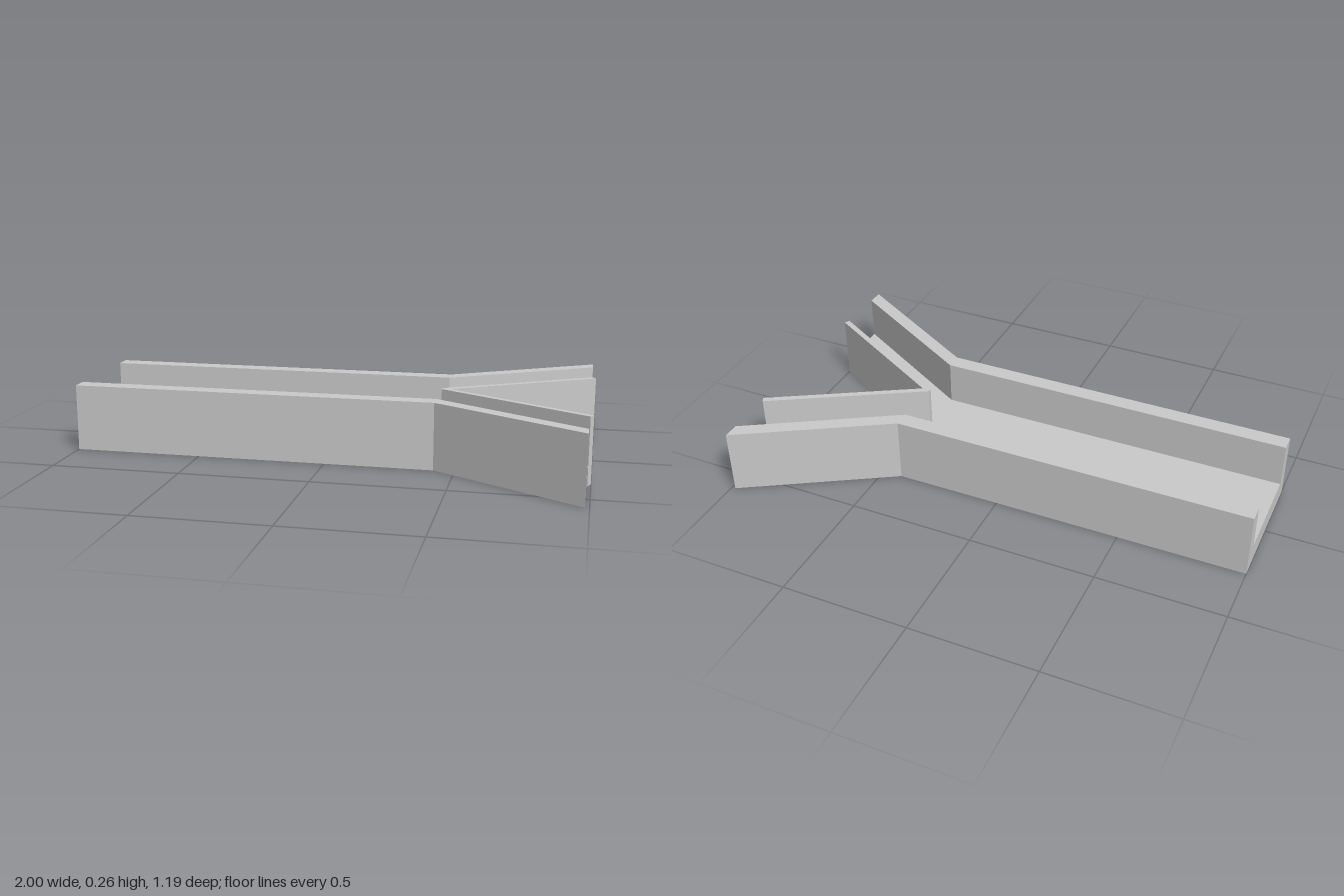
import * as THREE from 'three';

const FLOOR = 0.085, TOP = 0.26;
const material = new THREE.MeshStandardMaterial({ color: 0xcccccc, flatShading: true });

// Upright prism over a plan outline of [x, z] points, from y0 to y1
function prism(name, plan, y0, y1) {
  const shape = new THREE.Shape(plan.map(([x, z]) => new THREE.Vector2(x, -z)));
  const geometry = new THREE.ExtrudeGeometry(shape, { depth: y1 - y0, bevelEnabled: false });
  geometry.rotateX(-Math.PI / 2).translate(0, y0, 0);
  const mesh = new THREE.Mesh(geometry, material);
  mesh.name = name;
  return mesh;
}

const mirror = (points) => points.map(([x, z]) => [x, -z]);
// Closes a half outline with its mirror image across z = 0
const symmetric = (half) => [...half, ...mirror(half).reverse()];

export function createModel() {
  const group = new THREE.Group();
  group.name = 'forkedChannel';

  // Y-shaped floor, notched where the divider stands
  const outer = [[-1, 0.26], [0.42, 0.26], [0.985, 0.595]];
  group.add(prism('floor', symmetric([...outer, [0.985, 0.338], [0.415, 0.009]]), 0, FLOOR));

  // Outer walls, bent along each branch
  const wall = [...outer, [0.985, 0.53], [0.42, 0.195], [-1, 0.195]];
  group.add(prism('leftWall', wall, FLOOR, TOP));
  group.add(prism('rightWall', mirror(wall), FLOOR, TOP));

  // Thin V-shaped divider between the branches, with square-cut ends
  const arm = [[0.415, 0.009], [0.988, 0.34], [1, 0.32]];
  group.add(prism('divider', [...arm, [0.446, 0], ...mirror(arm).reverse()], 0, 0.257));

  return group;
}
